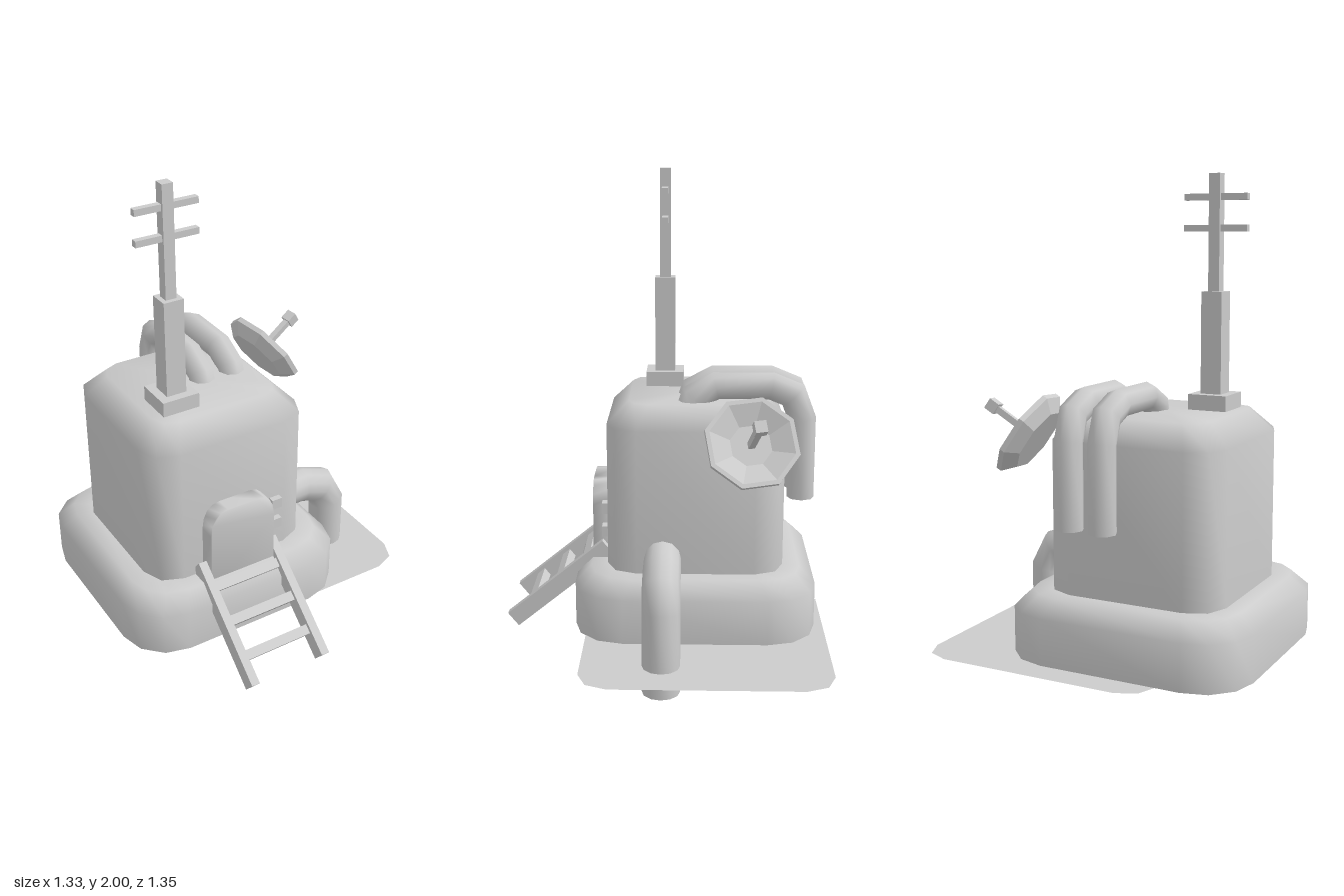
import * as THREE from 'three';
import { mergeVertices } from 'three/addons/utils/BufferGeometryUtils.js';

const grey = new THREE.MeshStandardMaterial({ color: 0xcccccc });
const greyOpen = new THREE.MeshStandardMaterial({ color: 0xcccccc, side: THREE.DoubleSide });
const greyFlat = new THREE.MeshStandardMaterial({ color: 0xcccccc, flatShading: true });

function add(parent, name, geometry, material = grey) {
  const mesh = new THREE.Mesh(geometry, material);
  mesh.name = name;
  parent.add(mesh);
  return mesh;
}

function box(parent, name, size, pos) {
  const mesh = add(parent, name, new THREE.BoxGeometry(...size));
  mesh.position.set(...pos);
  return mesh;
}

// Smooth skin through closed rings of points, with an optional cap on the last ring
function loft(rings, cap) {
  const n = rings[0].length;
  const points = rings.flat();
  const index = [];
  for (let i = 0; i < rings.length - 1; i++) {
    for (let j = 0; j < n; j++) {
      const a = i * n + j, a2 = i * n + (j + 1) % n;
      index.push(a, a2, a + n, a2, a2 + n, a + n);
    }
  }
  if (cap) {
    const last = rings[rings.length - 1];
    const start = points.length - n;
    const centre = last.reduce((s, p) => s.add(p), new THREE.Vector3()).divideScalar(n);
    points.push(centre);
    for (let j = 0; j < n; j++) index.push(points.length - 1, start + j, start + (j + 1) % n);
  }
  const g = new THREE.BufferGeometry().setFromPoints(points);
  g.setIndex(index);
  g.computeVertexNormals();
  return g;
}

// Horizontal rounded square
function squareRing(half, radius, y, segs) {
  const ring = [];
  for (let c = 0; c < 4; c++) {
    const mid = -(c + 0.5) * Math.PI / 2;
    const cx = Math.sign(Math.cos(mid)) * (half - radius);
    const cz = Math.sign(Math.sin(mid)) * (half - radius);
    for (let s = 0; s <= segs; s++) {
      const a = -(c + s / segs) * Math.PI / 2;
      ring.push(new THREE.Vector3(cx + radius * Math.cos(a), y, cz + radius * Math.sin(a)));
    }
  }
  return ring;
}

// Mitred round pipe along a path in the xy plane
function pipe(path, radius, sides, cap) {
  const pts = path.map(p => new THREE.Vector2(...p));
  const rings = pts.map((p, i) => {
    const before = p.clone().sub(pts[Math.max(i - 1, 0)]).normalize();
    const after = pts[Math.min(i + 1, pts.length - 1)].clone().sub(p).normalize();
    const d = before.clone().add(after).normalize();
    const miter = 1 / d.dot(i ? before : after);
    return Array.from({ length: sides }, (_, j) => {
      const t = j / sides * Math.PI * 2;
      const u = Math.cos(t) * radius * miter;
      return new THREE.Vector3(p.x - d.y * u, p.y + d.x * u, Math.sin(t) * radius);
    });
  });
  if (cap) rings.push(rings[rings.length - 1].map(p => p.clone()));
  return loft(rings, cap);
}

export function createModel() {
  const model = new THREE.Group();
  model.name = 'outpost';

  // Rounded base and main body
  const hull = new THREE.Group();
  hull.name = 'hull';
  hull.position.set(-0.167, 0, -0.133);
  model.add(hull);
  add(hull, 'base', loft([
    squareRing(0.498, 0.205, 0.14, 3),
    squareRing(0.498, 0.205, 0.325, 3),
    squareRing(0.433, 0.17, 0.39, 3),
    squareRing(0.355, 0.12, 0.39, 3),
  ]), greyOpen);
  add(hull, 'body', loft([
    squareRing(0.365, 0.125, 0.38, 2),
    squareRing(0.365, 0.125, 0.99, 2),
    squareRing(0.275, 0.08, 1.08, 2),
  ], true), greyOpen);

  // Thin ground plate
  const plate = new THREE.BufferGeometry();
  plate.copy(loft([squareRing(0.4985, 0.12, 0, 2)], true));
  const plateMesh = add(model, 'groundPlate', plate, greyOpen);
  plateMesh.position.set(0.166, 0.11, -0.177);

  // Arched door, softly shaded
  const door = new THREE.Shape();
  door.moveTo(-0.15, 0.3);
  door.lineTo(0.15, 0.3);
  door.lineTo(0.15, 0.61);
  door.quadraticCurveTo(0.145, 0.715, 0.07, 0.715);
  door.lineTo(-0.07, 0.715);
  door.quadraticCurveTo(-0.145, 0.715, -0.15, 0.61);
  let doorGeo = new THREE.ExtrudeGeometry(door, { depth: 0.1, bevelEnabled: false, curveSegments: 4 });
  doorGeo.deleteAttribute('normal');
  doorGeo.deleteAttribute('uv');
  doorGeo = mergeVertices(doorGeo);
  doorGeo.computeVertexNormals();
  add(model, 'door', doorGeo).position.set(-0.17, 0, 0.2);

  // Door buttons
  for (const y of [0.517, 0.617]) box(model, 'doorButton', [0.047, 0.045, 0.06], [0.023, y, 0.228]);

  // Sloping ladder
  const ladder = new THREE.Group();
  ladder.name = 'ladder';
  ladder.position.set(-0.17, 0.268, 0.443);
  ladder.rotation.x = 0.68;
  model.add(ladder);
  for (const side of [-1, 1]) box(ladder, 'ladderRail', [0.036, 0.072, 0.53], [side * 0.168, 0, 0]);
  for (const z of [-0.155, -0.005, 0.145]) box(ladder, 'ladderRung', [0.31, 0.04, 0.04], [0, 0, z]);

  // Stepped mast with crossbars
  const mast = new THREE.Group();
  mast.name = 'mast';
  mast.position.x = -0.317;
  model.add(mast);
  for (const [name, width, from, to] of [
    ['mastFoot', 0.16, 1.07, 1.142], ['mastLower', 0.086, 1.14, 1.545], ['mastUpper', 0.046, 1.54, 2],
  ]) box(mast, name, [width, to - from, width], [0, (from + to) / 2, 0]);
  for (const y of [1.79, 1.91]) box(mast, 'mastCrossbar', [0.265, 0.026, 0.026], [0, y, 0]);

  // Twin hoses from the roof down the back
  const hosePath = [[0.1, 1.02], [0.125, 1.095], [0.215, 1.142], [0.44, 1.142], [0.53, 1.105], [0.568, 1.005], [0.568, 0.672]];
  for (const x of [-0.114, 0.027]) {
    const hose = add(model, 'hose', pipe(hosePath, 0.056, 8, true));
    hose.rotation.y = Math.PI / 2;
    hose.position.x = x;
  }

  // Side drain pipe
  add(model, 'drainPipe', pipe([[0.15, 0.455], [0.32, 0.455], [0.415, 0.42], [0.462, 0.33], [0.462, 0]], 0.076, 12), greyOpen);

  // Tilted dish with feed arm
  const dish = new THREE.Group();
  dish.name = 'dishAntenna';
  dish.position.set(0.35, 0.992, -0.35);
  dish.lookAt(dish.position.clone().add(new THREE.Vector3(1, 0.65, -0.13)));
  dish.rotateZ(0.1);
  model.add(dish);
  const profile = [[0, -0.064], [0.138, -0.064], [0.19, -0.022], [0.19, 0], [0.172, 0], [0.085, -0.042], [0, -0.042]]
    .map(p => new THREE.Vector2(...p));
  add(dish, 'dish', new THREE.LatheGeometry(profile, 8, Math.PI / 8).rotateX(Math.PI / 2), greyFlat);
  box(dish, 'feedArm', [0.026, 0.026, 0.2], [0, 0, 0.055]);
  box(dish, 'feedHead', [0.046, 0.046, 0.046], [0, 0, 0.17]);

  return model;
}
